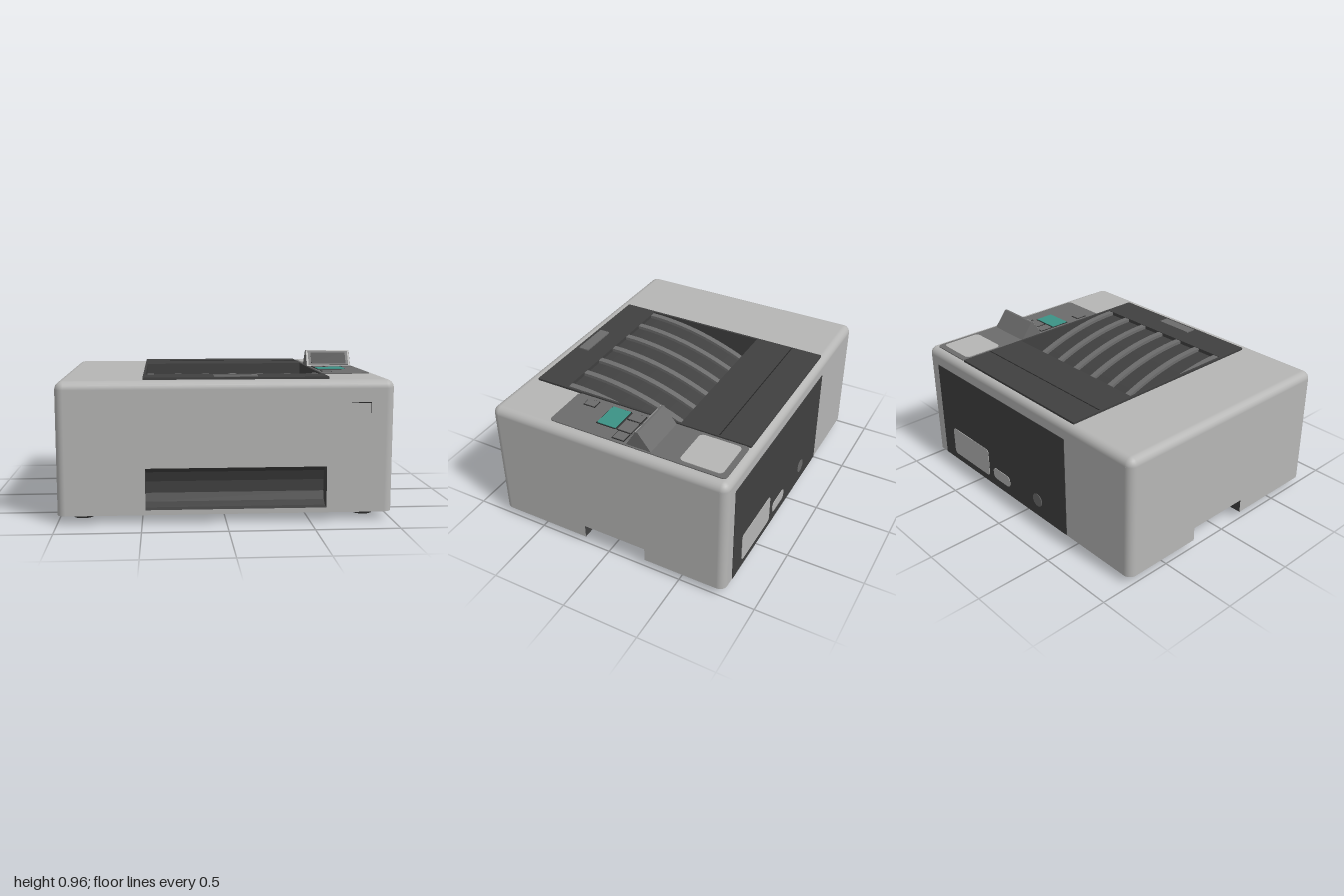
import * as THREE from 'three';

const mat = (name, color, side = THREE.FrontSide) => {
  const m = new THREE.MeshStandardMaterial({ color, side });
  m.name = name;
  return m;
};

export function createModel() {
  const root = new THREE.Group();
  root.name = 'desktopPrinter';
  const shell = mat('shell grey', 0xb6b6b5);
  const dark = mat('charcoal', 0x404040, THREE.DoubleSide);
  const mid = mat('medium grey', 0x6c6c6c);
  const black = mat('near black', 0x242424);
  const teal = mat('teal', 0x3c9286);

  const add = (name, geo, m, parent = root) => {
    const mesh = new THREE.Mesh(geo, m);
    mesh.name = name;
    parent.add(mesh);
    return mesh;
  };
  const poly = (pts) => new THREE.Shape(pts.map(([x, y]) => new THREE.Vector2(x, y)));
  const rect = (a, b, c, d) => [[a, c], [b, c], [b, d], [a, d]];
  const face = (pts, hole) => {
    const s = poly(pts);
    if (hole) s.holes.push(poly(hole));
    return new THREE.ShapeGeometry(s);
  };
  const box = (name, x0, x1, y0, y1, z0, z1, m, parent) =>
    add(name, new THREE.BoxGeometry(x1 - x0, y1 - y0, z1 - z0)
      .translate((x0 + x1) / 2, (y0 + y1) / 2, (z0 + z1) / 2), m, parent);

  // Rounded rectangle outline
  const round = (x0, x1, y0, y1, r, n = 6) => {
    const pts = [];
    [[x1 - r, y1 - r], [x0 + r, y1 - r], [x0 + r, y0 + r], [x1 - r, y0 + r]].forEach(([cx, cy], q) => {
      for (let i = 0; i <= n; i++) {
        const a = (q + i / n) * Math.PI / 2;
        pts.push([cx + r * Math.cos(a), cy + r * Math.sin(a)]);
      }
    });
    return pts;
  };
  // Flat slab lying on the top of the body
  const slab = (name, x0, x1, z0, z1, y0, y1, r, m, hole) => {
    const s = poly(round(x0, x1, -z1, -z0, r));
    if (hole) s.holes.push(poly(hole));
    const g = new THREE.ExtrudeGeometry(s, { depth: y1 - y0, bevelEnabled: false });
    return add(name, g.rotateX(-Math.PI / 2).translate(0, y0, 0), m);
  };
  // Open hollow: a [z, y] profile swept along x, closed by two end walls
  const hollow = (name, profile, x0, x1, m, parent) => {
    const g = new THREE.Group();
    g.name = name;
    (parent || root).add(g);
    const pos = [], idx = [];
    profile.forEach(([z, y], i) => {
      pos.push(x0, y, z, x1, y, z);
      const k = i * 2;
      if (i) idx.push(k - 2, k - 1, k, k - 1, k + 1, k);
    });
    let b = new THREE.BufferGeometry();
    b.setAttribute('position', new THREE.Float32BufferAttribute(pos, 3));
    b.setIndex(idx);
    b = b.toNonIndexed();
    b.computeVertexNormals();
    add(name + 'Lining', b, m, g);
    for (const x of [x0, x1]) {
      add(name + 'End', face(profile).rotateY(-Math.PI / 2).translate(x, 0, 0), m, g);
    }
    return g;
  };

  // Main housing: flat walls with openings, rounded corners and a rounded rim
  const R = 0.05, B = 0.05, T = 0.845, W = 1, D = 0.8, wallTop = T - R;
  const body = new THREE.Group();
  body.name = 'housing';
  root.add(body);
  add('frontWall', face(rect(-W + R, W - R, B, wallTop), rect(-0.48, 0.6, 0.08, 0.33)).translate(0, 0, D), shell, body);
  add('backWall', face(rect(-W + R, W - R, B, wallTop)).rotateY(Math.PI).translate(0, 0, -D), shell, body);
  const g0 = -0.26, g1 = 0.17, gTop = 0.14, gDeep = 0.1;
  for (const s of [1, -1]) {
    const [a, b] = s > 0 ? [-g1, -g0] : [g0, g1];
    add('sideWall', face([[-D + R, B], [a, B], [a, gTop], [b, gTop], [b, B], [D - R, B], [D - R, wallTop], [-D + R, wallTop]])
      .rotateY(s * Math.PI / 2).translate(s * W, 0, 0), shell, body);
    // Hand grips under the sides
    const grip = hollow('handGrip', [[0, gTop], [-gDeep, gTop], [-gDeep, B], [0, B]].slice(0, 3),
      a, b, dark, body);
    grip.rotation.y = s * Math.PI / 2;
    grip.position.x = s * W;
    for (const z of [a, b]) {
      add('gripEnd', face(rect(-gDeep, 0, B, gTop)).rotateY(-Math.PI / 2).translate(z, 0, 0), dark, grip);
    }
    box('gripLip', a, b, B, B + 0.015, -gDeep, -gDeep + 0.01, shell, grip);
  }
  add('topWall', face(rect(-W + R, W - R, -D + R, D - R), rect(-0.475, 0.605, -0.5, 0.305))
    .rotateX(-Math.PI / 2).translate(0, T, 0), shell, body);
  const base = round(-W, W, -D, D, R);
  const cut = (s) => {
    const x = s * W, i = s * (W - gDeep), pts = [[x, g0], [i, g0], [i, g1], [x, g1]];
    return s > 0 ? pts : pts.reverse();
  };
  add('underside', face([...base.slice(0, 14), ...cut(-1), ...base.slice(14), ...cut(1)])
    .rotateX(Math.PI / 2).translate(0, B, 0), shell, body);
  [[1, 1], [1, -1], [-1, -1], [-1, 1]].forEach(([sx, sz], q) => {
    add('corner', new THREE.CylinderGeometry(R, R, wallTop - B, 8, 1, true, q * Math.PI / 2, Math.PI / 2)
      .translate(sx * (W - R), (wallTop + B) / 2, sz * (D - R)), shell, body);
  });
  const pos = [], nor = [], idx = [], n = 6, loop = 4 * (n + 1);
  for (let j = 0; j <= n; j++) {
    const e = j / n * Math.PI / 2;
    for (let k = 0; k < loop; k++) {
      const q = Math.floor(k / (n + 1)), a = (q + (k % (n + 1)) / n) * Math.PI / 2;
      const nx = Math.cos(e) * Math.cos(a), ny = Math.sin(e), nz = Math.cos(e) * Math.sin(a);
      const sx = q === 0 || q === 3 ? 1 : -1, sz = q < 2 ? 1 : -1;
      pos.push(sx * (W - R) + R * nx, wallTop + R * ny, sz * (D - R) + R * nz);
      nor.push(nx, ny, nz);
      if (j < n) {
        const p = j * loop + k, r = j * loop + (k + 1) % loop;
        idx.push(p, p + loop, r, r, p + loop, r + loop);
      }
    }
  }
  const rim = new THREE.BufferGeometry();
  rim.setAttribute('position', new THREE.Float32BufferAttribute(pos, 3));
  rim.setAttribute('normal', new THREE.Float32BufferAttribute(nor, 3));
  rim.setIndex(idx);
  add('topRim', rim, shell, body);

  // Feet
  for (const x of [-0.86, 0.86]) for (const z of [-0.6, 0.595]) {
    const foot = new THREE.LatheGeometry([[0, 0], [0.06, 0], [0.08, 0.018], [0.08, 0.052]]
      .map(([r, y]) => new THREE.Vector2(r, y)), 24);
    add('foot', foot.translate(x, 0, z), dark);
  }

  // Front paper opening with a curved lining
  hollow('paperOpening', [[D, 0.33], [0.75, 0.325], [0.71, 0.29], [0.69, 0.23], [0.69, 0.16], [0.71, 0.11], [0.75, 0.085], [D, 0.08]],
    -0.48, 0.6, dark);

  // Small port cover outline on the front
  box('portSeam', 0.74, 0.86, 0.708, 0.713, D, D + 0.002, black);
  box('portSeam', 0.857, 0.86, 0.65, 0.71, D, D + 0.002, black);

  // Output tray: framed cover, curved well and ribs
  slab('trayCover', -0.49, 0.62, -0.765, 0.72, T, 0.858, 0.004, dark, rect(-0.475, 0.605, -0.5, 0.305));
  box('coverSeam', -0.48, 0.61, 0.858, 0.8595, -0.562, -0.556, black);
  slab('coverTab', -0.07, 0.195, 0.625, 0.695, 0.858, 0.866, 0.004, mid);
  const curve = (lift) => Array.from({ length: 15 }, (_, i) => {
    const t = i / 14;
    return [0.5 - 0.803 * t, 0.835 - 0.2 * t * t + lift];
  });
  hollow('trayWell', [[0.5, 0.855], ...curve(0), [-0.305, 0.855]], -0.475, 0.605, dark);
  for (let i = 0; i < 7; i++) {
    const s = poly([...curve(0.02), ...curve(-0.004).reverse()]);
    const g = new THREE.ExtrudeGeometry(s, { depth: 0.04, bevelEnabled: false });
    add('trayRib', g.rotateY(-Math.PI / 2).translate(-0.425 + i * 0.1705, 0, 0), mid);
  }

  // Control panel
  slab('controlPanel', 0.622, 0.94, -0.76, 0.405, T, 0.851, 0.025, mid);
  slab('scanPad', 0.645, 0.915, -0.725, -0.455, 0.851, 0.855, 0.03, shell);
  const button = (x0, x1, z0, z1, m) => {
    slab('buttonGap', x0, x1, z0, z1, 0.851, 0.853, 0.004, black);
    slab('button', x0 + 0.005, x1 - 0.005, z0 + 0.005, z1 - 0.005, 0.853, 0.857, 0.004, m);
  };
  button(0.65, 0.725, -0.1, 0, mid);
  button(0.73, 0.84, -0.1, 0, mid);
  button(0.845, 0.92, -0.1, -0.015, mid);
  button(0.65, 0.84, 0.005, 0.142, teal);
  button(0.65, 0.717, 0.232, 0.315, mid);

  // Raised wedge with a tilted display
  const wedge = poly([[-0.285, 0.85], [-0.12, 0.85], [-0.185, 0.958], [-0.2, 0.958]]);
  add('displayWedge', new THREE.ExtrudeGeometry(wedge, { depth: 0.305, bevelEnabled: false })
    .rotateY(-Math.PI / 2).translate(0.93, 0, 0), mid);
  const display = new THREE.Group();
  display.name = 'display';
  display.position.set(0.778, 0.904, -0.1525);
  display.rotation.x = -Math.atan2(0.065, 0.108);
  root.add(display);
  box('displayEdge', -0.15, 0.15, -0.06, 0.06, 0, 0.002, shell, display);
  box('displayFrame', -0.138, 0.138, -0.054, 0.052, 0, 0.004, mid, display);
  box('displayScreen', -0.12, 0.12, -0.045, 0.04, 0, 0.006, black, display);

  // Rear service panel with sockets
  const rear = (name, x0, x1, y0, y1, r, z, m) =>
    add(name, new THREE.ExtrudeGeometry(poly(round(-x1, -x0, y0, y1, r)), { depth: 0.003, bevelEnabled: false })
      .rotateY(Math.PI).translate(0, 0, z), m);
  rear('rearPanel', -0.44, 0.89, 0.052, 0.74, 0.005, -D, dark);
  rear('rearPortPlate', 0.36, 0.77, 0.1, 0.3, 0.025, -D - 0.003, shell);
  rear('rearSocket', 0.13, 0.31, 0.115, 0.195, 0.03, -D - 0.003, shell);
  rear('rearButton', -0.205, -0.115, 0.125, 0.215, 0.0449, -D - 0.003, mid);

  return root;
}
